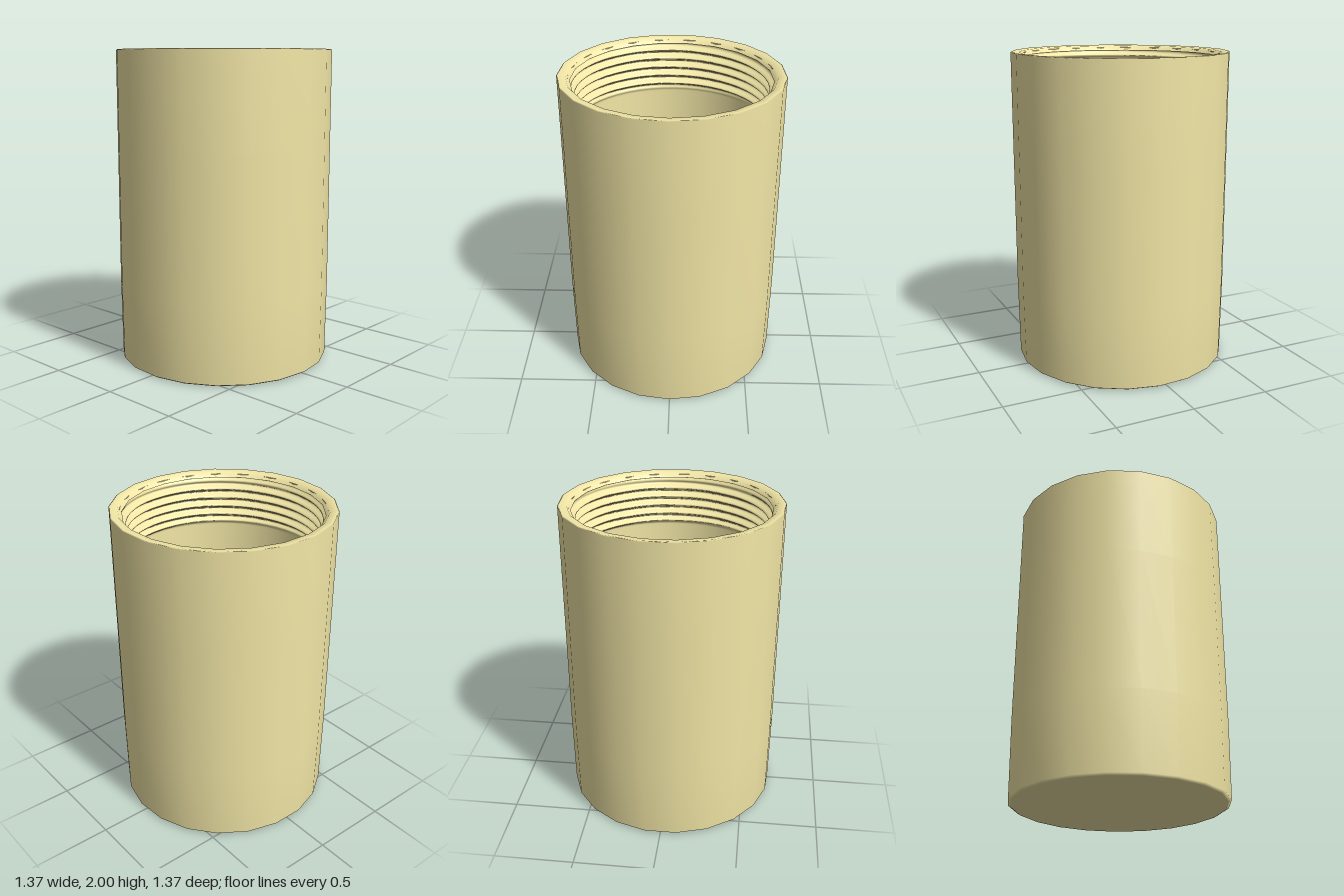
import * as THREE from 'three';
import { mergeVertices } from 'three/addons/utils/BufferGeometryUtils.js';

const material = new THREE.MeshStandardMaterial({ color: 0xf2e6a6 });

function lathe(profile, segments) {
  return new THREE.LatheGeometry(profile.map(([r, y]) => new THREE.Vector2(r, y)), segments);
}

function part(name, geometry) {
  const mesh = new THREE.Mesh(geometry, material);
  mesh.name = name;
  return mesh;
}

// Wall of the opening with a helical ridge running round it
function threadedWall(top, bottom, turns) {
  const rows = 66, root = 0.622, depth = 0.037, pitch = 0.058;
  const profile = [];
  for (let i = 0; i <= rows; i++) profile.push([root, top + (bottom - top) * i / rows]);
  const geometry = lathe(profile, 48);
  const pos = geometry.attributes.position;
  const ramp = THREE.MathUtils.smoothstep;
  for (let i = 0; i < pos.count; i++) {
    const x = pos.getX(i), y = pos.getY(i), z = pos.getZ(i);
    const angle = Math.atan2(x, z) / (2 * Math.PI);
    const down = top - y;
    const wave = 0.5 - 0.5 * Math.cos(2 * Math.PI * (down / pitch + angle));
    const fade = ramp(down, 0.02, 0.07) * (1 - ramp(down, pitch * turns, pitch * turns + 0.05));
    const scale = (root - depth * wave * fade) / root;
    pos.setXYZ(i, x * scale, y, z * scale);
  }
  // Weld the seam so the shading runs round smoothly
  geometry.deleteAttribute('uv');
  geometry.deleteAttribute('normal');
  const welded = mergeVertices(geometry, 1e-4);
  welded.computeVertexNormals();
  return welded;
}

export function createModel() {
  const model = new THREE.Group();
  model.name = 'threadedCap';

  // Outer wall with a small bottom bevel and a rim rolling into the opening
  model.add(part('outerShell', lathe([
    [0, 0], [0.66, 0], [0.68, 0.012], [0.687, 0.5], [0.687, 1.4],
    [0.687, 1.995], [0.68, 2], [0.635, 1.995], [0.61, 1.965],
  ], 21)));

  // Screw thread inside the mouth
  model.add(part('innerThread', threadedWall(1.985, 1.6, 5.2)));

  // Plain lower wall and floor
  model.add(part('cavity', lathe([
    [0.622, 1.6], [0.622, 0.9], [0.62, 0.2], [0.58, 0.15], [0.25, 0.15], [0.25, 0.2],
  ], 48)));

  // Central post with a softly shaded top
  model.add(part('centrePost', lathe([
    [0.25, 0.15], [0.25, 0.9], [0, 0.92],
  ], 13)));

  return model;
}
